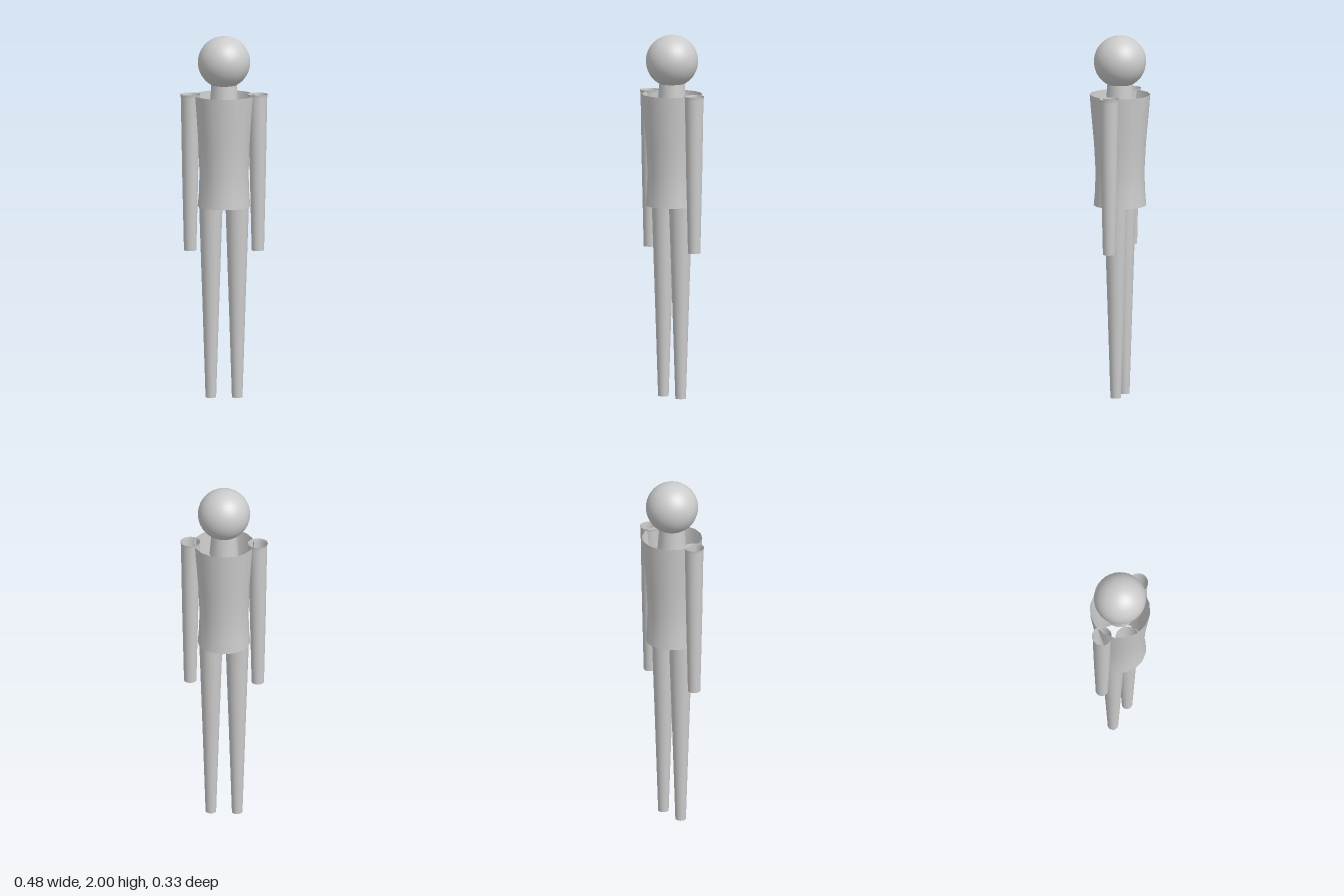
import * as THREE from 'three';

const material = new THREE.MeshStandardMaterial({ color: 0xcccccc, side: THREE.DoubleSide });

// Open tube of revolution from [radius, height] pairs, bottom to top
function tube(name, profile, x = 0) {
  const points = profile.map(([r, y]) => new THREE.Vector2(r, y));
  const mesh = new THREE.Mesh(new THREE.LatheGeometry(points, 16), material);
  mesh.name = name;
  mesh.position.x = x;
  return mesh;
}

export function createModel() {
  const model = new THREE.Group();
  model.name = 'mannequin';

  // Head
  const head = new THREE.Mesh(new THREE.SphereGeometry(0.143, 32, 24), material);
  head.name = 'head';
  head.position.y = 1.857;
  model.add(head);

  // Neck, reaching a little way into the open torso
  model.add(tube('neck', [[0.079, 1.61], [0.074, 1.67], [0.069, 1.74]]));

  // Torso, drawn in at the waist and open at both ends
  model.add(tube('torso', [
    [0.144, 1.06], [0.137, 1.14], [0.134, 1.25], [0.142, 1.4], [0.16, 1.6], [0.166, 1.675],
  ]));

  // Arms and legs, tapering and open at both ends
  for (const [side, s] of [['left', 1], ['right', -1]]) {
    model.add(tube(`${side}Arm`, [[0.034, 0.815], [0.044, 1.25], [0.051, 1.66], [0.055, 1.68]], s * 0.185));
    model.add(tube(`${side}Leg`, [[0.029, 0], [0.046, 0.53], [0.064, 1.065]], s * 0.072));
  }
  return model;
}
